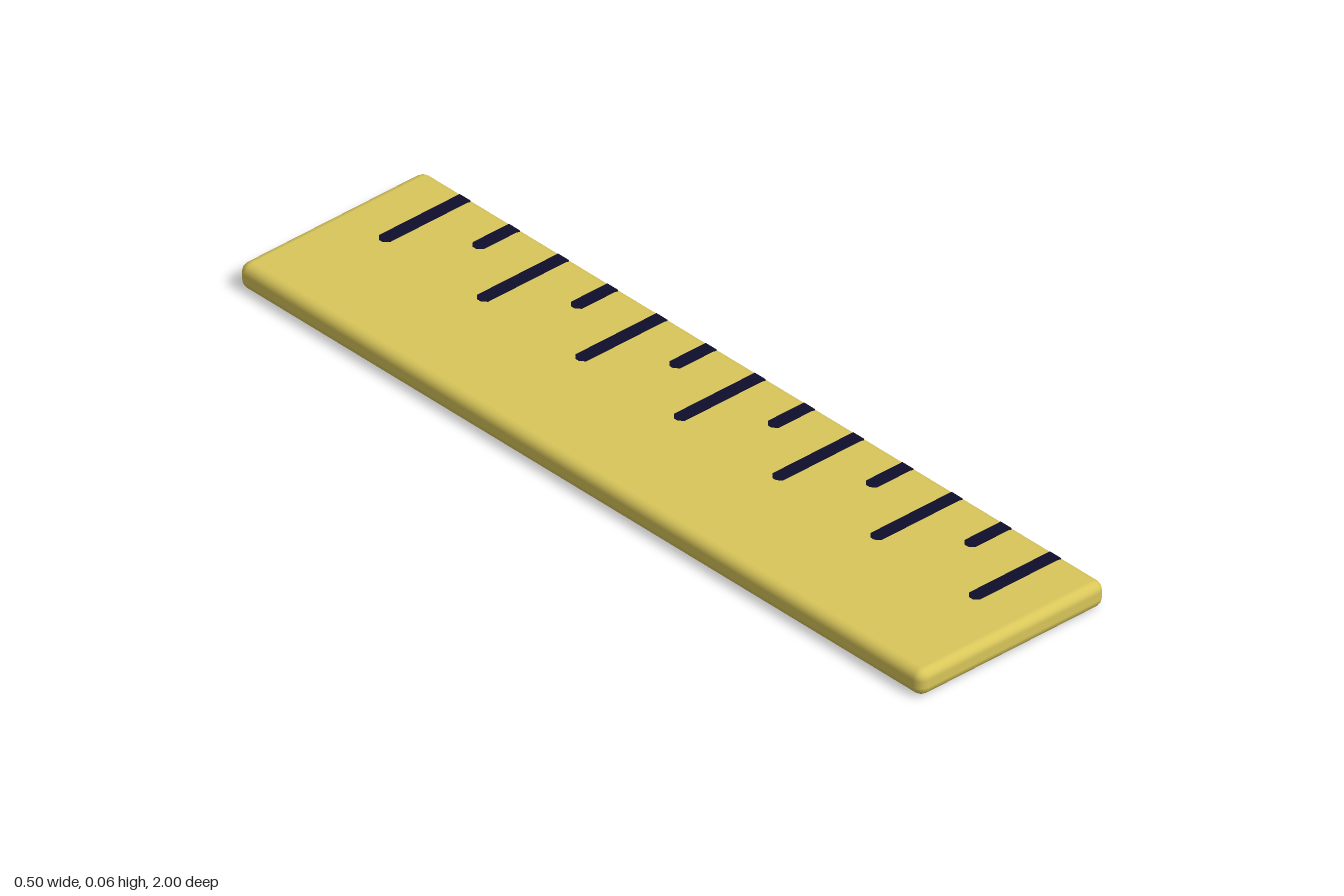
import * as THREE from 'three';
import { RoundedBoxGeometry } from 'three/addons/geometries/RoundedBoxGeometry.js';

export function createModel() {
  const model = new THREE.Group();
  model.name = 'ruler';

  const yellow = new THREE.MeshStandardMaterial({ color: 0xd9c65a });
  yellow.name = 'ruler yellow';
  const navy = new THREE.MeshStandardMaterial({ color: 0x0e0e2c });
  navy.name = 'mark navy';

  // Flat body with softly rounded edges
  const body = new THREE.Mesh(new RoundedBoxGeometry(0.5, 0.06, 2, 2, 0.022), yellow);
  body.name = 'rulerBody';
  body.position.y = 0.03;
  model.add(body);

  // Thin mark whose inner end is slightly chamfered
  const outer = 0.237, half = 0.016, tip = 0.01;
  function markGeometry(inner) {
    const shape = new THREE.Shape([
      new THREE.Vector2(inner, -half / 3),
      new THREE.Vector2(inner + tip, -half),
      new THREE.Vector2(outer, -half),
      new THREE.Vector2(outer, half),
      new THREE.Vector2(inner + tip, half),
      new THREE.Vector2(inner, half / 3),
    ]);
    return new THREE.ExtrudeGeometry(shape, { depth: 0.006, bevelEnabled: false })
      .rotateX(-Math.PI / 2);
  }
  const longMark = markGeometry(0.01);
  const shortMark = markGeometry(0.13);

  // Alternating long and short marks along the left edge
  const marks = new THREE.Group();
  marks.name = 'measuringMarks';
  for (let i = -6; i <= 6; i++) {
    const isLong = i % 2 === 0;
    const mark = new THREE.Mesh(isLong ? longMark : shortMark, navy);
    mark.name = isLong ? 'longMark' : 'shortMark';
    mark.position.set(0, 0.0553, i * 0.144);
    marks.add(mark);
  }
  model.add(marks);

  return model;
}
